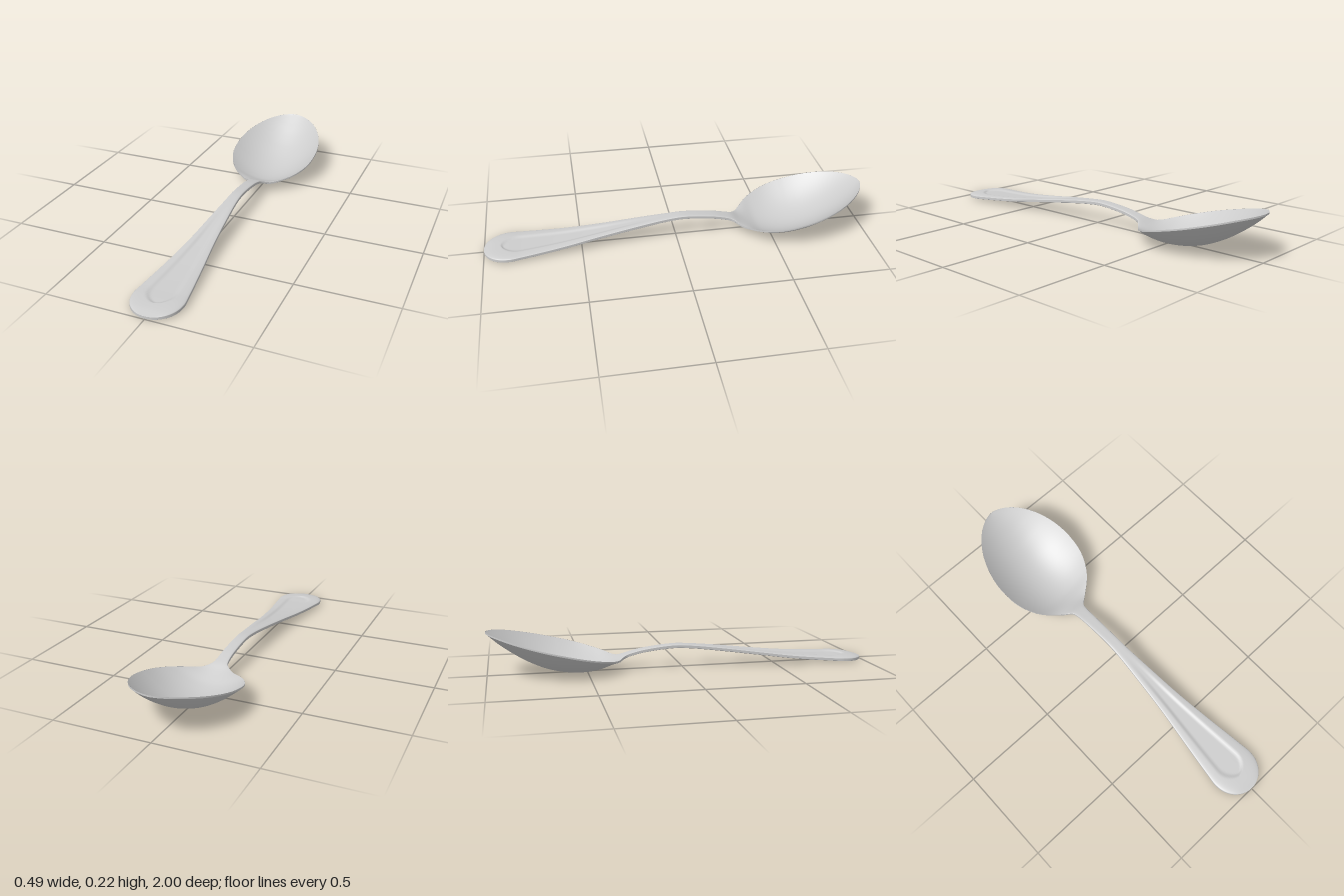
import * as THREE from 'three';

// Stations along the spoon: z, half width, edge height, centre top, centre underside
const STATIONS = [
  [-1, 0, 0.221, 0.223, 0.219], [-0.94, 0.11, 0.208, 0.177, 0.165],
  [-0.87, 0.18, 0.19, 0.126, 0.114], [-0.8, 0.213, 0.172, 0.083, 0.071],
  [-0.71, 0.236, 0.149, 0.042, 0.03], [-0.62, 0.242, 0.127, 0.019, 0.007],
  [-0.53, 0.228, 0.104, 0.012, 0], [-0.45, 0.19, 0.083, 0.02, 0.008],
  [-0.4, 0.148, 0.07, 0.037, 0.024], [-0.345, 0.082, 0.057, 0.061, 0.047],
  [-0.31, 0.042, 0.069, 0.079, 0.06], [-0.28, 0.033, 0.079, 0.089, 0.07],
  [-0.2, 0.03, 0.096, 0.107, 0.087], [-0.05, 0.029, 0.111, 0.122, 0.101],
  [0.05, 0.032, 0.106, 0.117, 0.096], [0.2, 0.044, 0.089, 0.1, 0.078],
  [0.4, 0.063, 0.062, 0.073, 0.051], [0.6, 0.09, 0.037, 0.049, 0.026],
  [0.8, 0.118, 0.021, 0.035, 0.009], [0.88, 0.125, 0.016, 0.033, 0.004],
  [0.95, 0.1, 0.012, 0.027, 0.002], [1, 0, 0.01, 0.016, 0.004],
];
const NECK = -0.34;
const smooth = THREE.MathUtils.smoothstep;

// Smooth interpolation of one station column at z
function sample(col, z) {
  const last = STATIONS.length - 1;
  let i = 0;
  while (i < last - 1 && z > STATIONS[i + 1][0]) i++;
  const slope = (k) => {
    const a = STATIONS[Math.max(k - 1, 0)], b = STATIONS[Math.min(k + 1, last)];
    return (b[col] - a[col]) / (b[0] - a[0]);
  };
  const p = STATIONS[i], q = STATIONS[i + 1];
  const d = q[0] - p[0], t = (z - p[0]) / d, t2 = t * t, t3 = t2 * t;
  return (2 * t3 - 3 * t2 + 1) * p[col] + (t3 - 2 * t2 + t) * d * slope(i)
    + (3 * t2 - 2 * t3) * q[col] + (t3 - t2) * d * slope(i + 1);
}

// Plan outline: oval bowl tip, rounded handle end
function halfWidth(z) {
  if (z < -0.64) return 0.243 * Math.pow(Math.max(0, 1 - ((z + 0.64) / 0.36) ** 2), 0.58);
  if (z > 0.87) return 0.125 * Math.sqrt(Math.max(0, 1 - ((z - 0.87) / 0.13) ** 2));
  return sample(1, z);
}

// Long sunken panel in the handle, 0 outside to 1 inside
function panel(x, z, w) {
  if (z < 0.05 || z > 0.91) return 0;
  const end = z > 0.81 ? Math.sqrt(1 - ((z - 0.81) / 0.1) ** 2) : 1;
  return smooth(0.62 * w * end - Math.abs(x), 0, 0.022) * smooth(z, 0.05, 0.45);
}

// Closed cross-section: top from right to left edge, then underside back
const ACROSS = 40;
function section(z) {
  const w = halfWidth(z), edge = sample(2, z), top = sample(3, z), under = sample(4, z);
  const handle = smooth(z, -0.4, -0.28);
  const lip = THREE.MathUtils.lerp(0.004, 0.006, handle);
  const ring = [];
  for (let j = 0; j < 2 * ACROSS + 2; j++) {
    const isTop = j <= ACROSS;
    const s = isTop ? j / ACROSS : (2 * ACROSS + 1 - j) / ACROSS;
    const u = Math.sin((s - 0.5) * Math.PI), x = u * w;
    const dish = 1 - u * u, slab = Math.sqrt(Math.max(0, 1 - u ** 4));
    const f = THREE.MathUtils.lerp(dish, slab, handle);
    const rim = edge + (isTop ? lip : -lip);
    const sunk = panel(x, z, w) * (isTop ? -0.007 : 0.004);
    ring.push(x, rim + ((isTop ? top : under) - rim) * f + sunk, z);
  }
  return ring;
}

export function createModel() {
  const steel = new THREE.MeshStandardMaterial({ color: 0xcccccc });
  steel.name = 'steel';

  // Stations crowd together towards both rounded tips
  const BOWL = 72, HANDLE = 140, zs = [];
  for (let i = 0; i <= BOWL; i++) zs.push(-1 + (NECK + 1) * (1 - Math.cos((i / BOWL) * Math.PI / 2)));
  for (let i = 1; i <= HANDLE; i++) zs.push(NECK + (1 - NECK) * Math.sin((i / HANDLE) * Math.PI / 2));

  const n = 2 * ACROSS + 2;
  const strip = (from, to) => {
    const index = [];
    for (let k = from; k < to; k++) {
      for (let j = 0; j < n; j++) {
        const a = k * n + j, b = k * n + (j + 1) % n;
        index.push(a, a + n, b, b, a + n, b + n);
      }
    }
    return index;
  };

  // One continuous skin gives shared normals, so the neck joins seamlessly
  const skin = new THREE.BufferGeometry();
  skin.setAttribute('position', new THREE.Float32BufferAttribute(zs.flatMap(section), 3));
  skin.setIndex(strip(0, BOWL + HANDLE));
  skin.computeVertexNormals();

  const group = new THREE.Group();
  group.name = 'spoon';
  const addPart = (name, from, to) => {
    const geometry = skin.clone();
    geometry.setIndex(strip(from, to));
    const mesh = new THREE.Mesh(geometry, steel);
    mesh.name = name;
    group.add(mesh);
  };
  addPart('bowl', 0, BOWL);
  addPart('handle', BOWL, BOWL + HANDLE);
  return group;
}
